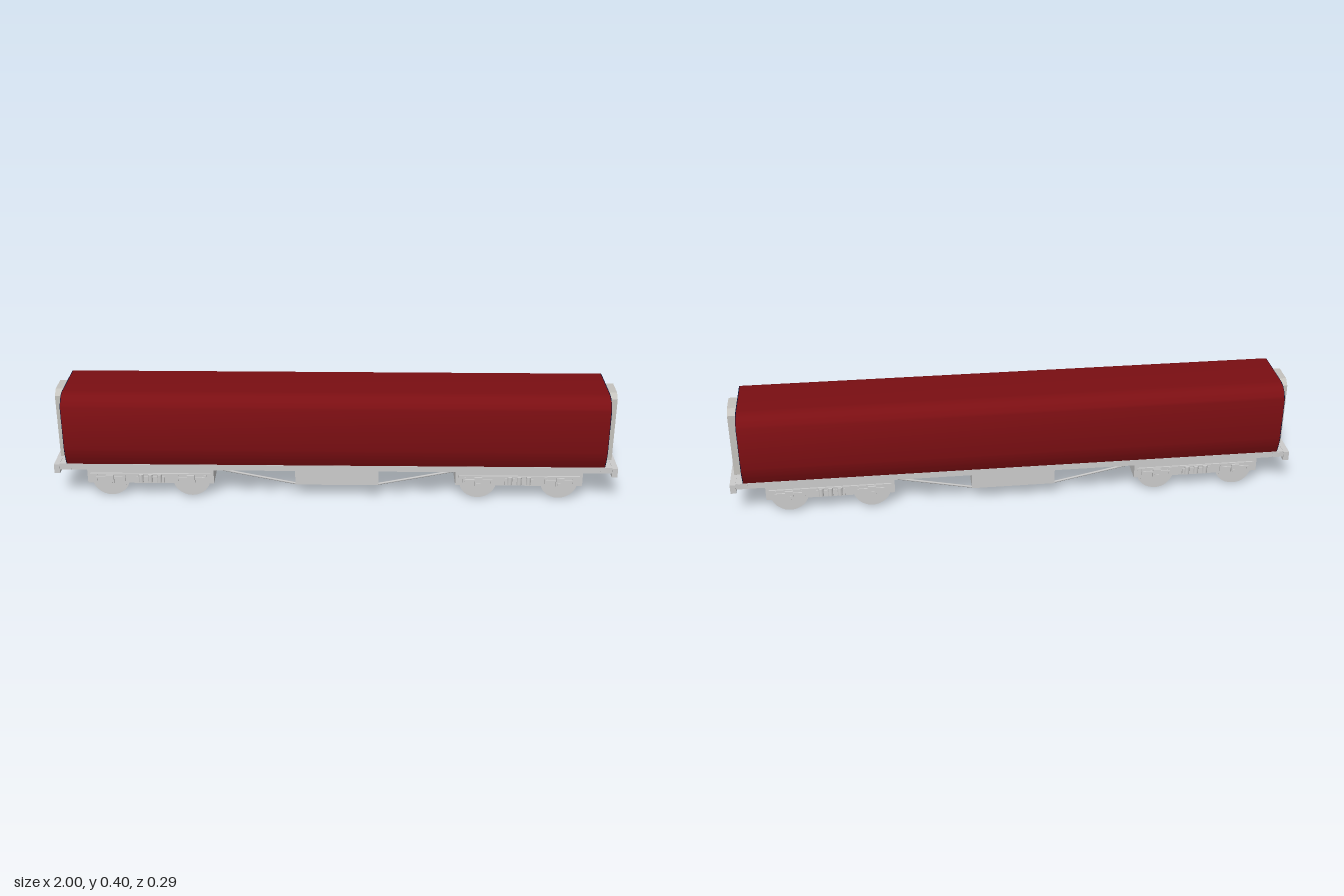
import * as THREE from 'three';
import { toCreasedNormals } from 'three/addons/utils/BufferGeometryUtils.js';

const mat = (color) => new THREE.MeshStandardMaterial({ color, side: THREE.DoubleSide });

export function createModel() {
  const model = new THREE.Group();
  const red = mat(0x7a0e12), navy = mat(0x0b1030), pale = mat(0xc4c2bd);
  const black = mat(0x0c0d0c), grey = mat(0xcccccc);

  const add = (parent, name, geometry, material, x = 0, y = 0, z = 0) => {
    const mesh = new THREE.Mesh(geometry, material);
    mesh.name = name;
    mesh.position.set(x, y, z);
    parent.add(mesh);
    return mesh;
  };
  // Box given by its limits on each axis
  const box = (parent, name, x0, x1, y0, y1, z0, z1, material = grey) =>
    add(parent, name, new THREE.BoxGeometry(x1 - x0, y1 - y0, z1 - z0), material,
      (x0 + x1) / 2, (y0 + y1) / 2, (z0 + z1) / 2);
  // Cross-section in z and y, swept along x from x0 to x1
  const sweep = (shape, x0, x1) => {
    const g = new THREE.ExtrudeGeometry(shape, { depth: x1 - x0, bevelEnabled: false, curveSegments: 8 });
    g.rotateY(Math.PI / 2).translate(x0, 0, 0);
    return toCreasedNormals(g, 0.5);
  };

  // Coach body outline; inset shrinks it for the end trim
  const bodyShape = (inset = 0, Type = THREE.Shape) => {
    const w = 0.144 - inset, t = 0.401 - inset, b = 0.134 + inset, s = new Type();
    s.moveTo(-0.123 + inset, b);
    s.lineTo(0.123 - inset, b);
    s.quadraticCurveTo(w - 0.004, 0.168, w, 0.202);
    s.lineTo(w, 0.36);
    s.bezierCurveTo(w - 0.012, 0.385, 0.112, t, 0.086, t);
    s.lineTo(-0.086, t);
    s.bezierCurveTo(-0.112, t, -w + 0.012, 0.385, -w, 0.36);
    s.lineTo(-w, 0.202);
    s.quadraticCurveTo(-w + 0.004, 0.168, -0.123 + inset, b);
    return s;
  };
  // Doorway outline with clipped top corners
  const doorShape = (w, top, clip, bottom = 0.134, Type = THREE.Shape) => {
    const s = new Type();
    s.moveTo(-w, bottom);
    s.lineTo(w, bottom);
    s.lineTo(w, top - clip * 0.85);
    s.lineTo(w - clip, top);
    s.lineTo(-w + clip, top);
    s.lineTo(-w, top - clip * 0.85);
    s.closePath();
    return s;
  };

  add(model, 'coachBody', sweep(bodyShape(), -0.953, 0.953), red);

  // End trim, gangway and headstock, turned round for the other end
  for (const side of [1, -1]) {
    const end = new THREE.Group();
    end.name = side > 0 ? 'leftEnd' : 'rightEnd';
    if (side < 0) end.rotation.y = Math.PI;

    const trim = bodyShape();
    trim.holes.push(bodyShape(0.004, THREE.Path));
    add(end, 'endTrim', sweep(trim, 0.952, 0.9545), navy);
    add(end, 'gangwayTrim', sweep(doorShape(0.065, 0.392, 0.024), 0.952, 0.9545), navy);

    const frame = doorShape(0.061, 0.388, 0.022);
    frame.holes.push(doorShape(0.047, 0.374, 0.012, 0.1345, THREE.Path));
    add(end, 'gangwayFrame', sweep(frame, 0.953, 0.988), pale);
    add(end, 'gangwayDoor', sweep(doorShape(0.0475, 0.3745, 0.012), 0.953, 0.976), black);

    box(end, 'endPlatform', 0.94, 0.985, 0.112, 0.131, -0.125, 0.125);
    box(end, 'headstock', 0.98, 1.0, 0.098, 0.132, -0.128, 0.128);
    box(end, 'headstockRail', 0.997, 1.0, 0.11, 0.132, -0.124, 0.124);
    box(end, 'drawPlate', 0.88, 0.955, 0.099, 0.104, -0.1, 0.1);
    box(end, 'drawPlateBracket', 0.9, 0.93, 0.104, 0.114, -0.03, 0.03);
    model.add(end);
  }

  // Underframe with a sole bar along each side
  const underframe = new THREE.Group();
  underframe.name = 'underframe';
  model.add(underframe);
  box(underframe, 'floor', -0.955, 0.955, 0.117, 0.1345, -0.118, 0.118);
  for (const s of [1, -1]) {
    const z = s * 0.119;
    box(underframe, 'soleBar', -0.98, 0.98, 0.112, 0.134, z - 0.005, z + 0.005);
    box(underframe, 'trussPanel', -0.142, 0.155, 0.057, 0.118, z - 0.004, z + 0.004);
    // Sloping truss rods
    for (const [x0, x1] of [[-0.142, -0.405], [0.155, 0.42]]) {
      const path = new THREE.LineCurve3(new THREE.Vector3(x0, 0.061, z), new THREE.Vector3(x1, 0.114, z));
      add(underframe, 'trussRod', new THREE.TubeGeometry(path, 1, 0.004, 6), grey);
    }
  }
  for (const x of [-0.138, 0.151])
    box(underframe, 'trussCrossPanel', x - 0.004, x + 0.004, 0.057, 0.118, -0.117, 0.117);

  // Wheel with tread and thin inner flange
  const tread = new THREE.CylinderGeometry(0.06, 0.06, 0.015, 32).rotateX(Math.PI / 2);
  const flange = new THREE.CylinderGeometry(0.067, 0.067, 0.003, 32).rotateX(Math.PI / 2);

  for (const bx of [-0.66, 0.655]) {
    const bogie = new THREE.Group();
    bogie.name = bx < 0 ? 'rightBogie' : 'leftBogie';
    bogie.position.x = bx;
    model.add(bogie);
    box(bogie, 'bogieFrame', -0.226, 0.226, 0.054, 0.118, -0.113, 0.113);

    for (const s of [1, -1]) {
      // Side frame layers, springs and axle boxes
      const zBox = (name, x0, x1, y0, y1, out) =>
        box(bogie, name, x0, x1, y0, y1, Math.min(s * 0.11, s * out), Math.max(s * 0.11, s * out));
      zBox('sideRail', -0.215, 0.215, 0.082, 0.094, 0.119);
      zBox('bolster', -0.05, 0.05, 0.06, 0.085, 0.122);
      for (const sx of [-0.033, 0, 0.033])
        add(bogie, 'bolsterSpring', new THREE.CylinderGeometry(0.009, 0.009, 0.03, 10), grey, sx, 0.077, s * 0.119);
      for (const wx of [-0.145, 0.145]) {
        zBox('axleBox', wx - 0.014, wx + 0.014, 0.058, 0.09, 0.126);
        zBox('axleBoxCap', wx - 0.008, wx + 0.008, 0.06, 0.07, 0.128);
        zBox('leafSpring', wx - 0.05, wx + 0.05, 0.074, 0.081, 0.122);
        for (const k of [-1, 1])
          zBox('springHanger', wx + k * 0.05 - 0.005, wx + k * 0.05 + 0.005, 0.064, 0.09, 0.12);
        add(bogie, 'wheelTread', tread, grey, wx, 0.067, s * 0.105);
        add(bogie, 'wheelFlange', flange, grey, wx, 0.067, s * 0.099);
      }
    }
    for (const wx of [-0.145, 0.145])
      add(bogie, 'axle', new THREE.CylinderGeometry(0.008, 0.008, 0.2, 10).rotateX(Math.PI / 2), grey, wx, 0.067, 0);
  }
  return model;
}
